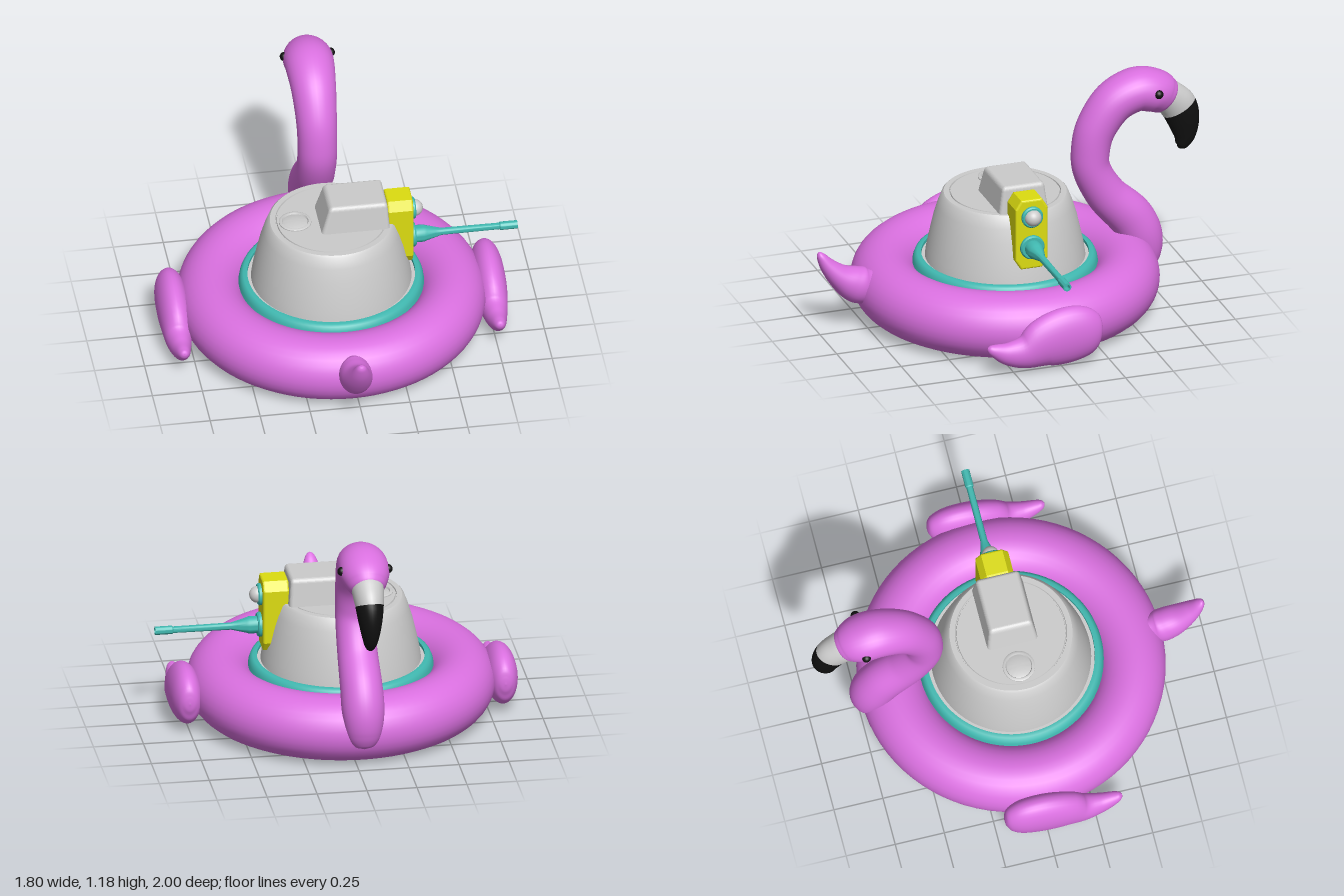
import * as THREE from 'three';
import { toCreasedNormals } from 'three/addons/utils/BufferGeometryUtils.js';
import { RoundedBoxGeometry } from 'three/addons/geometries/RoundedBoxGeometry.js';

const mat = (color) => new THREE.MeshStandardMaterial({ color });
const pink = mat(0xda70e0), teal = mat(0x40b8b0), yellow = mat(0xdcdc10);
const black = mat(0x111111), grey = mat(0xcccccc);

function add(parent, name, geometry, material, x = 0, y = 0, z = 0) {
  const mesh = new THREE.Mesh(geometry, material);
  mesh.name = name;
  mesh.position.set(x, y, z);
  parent.add(mesh);
  return mesh;
}

// Smooth skin over elliptical stations [z, y, half width in x, half thickness],
// following a path in the y-z plane between t0 and t1.
function loft(stations, t0 = 0, t1 = 1, rows = 48, sides = 32) {
  const path = new THREE.CatmullRomCurve3(
    stations.map(([z, y]) => new THREE.Vector3(0, y, z)), false, 'catmullrom', 0.5);
  const radii = new THREE.CatmullRomCurve3(
    stations.map((s) => new THREE.Vector3(s[2], s[3], 0)), false, 'catmullrom', 0.5);
  const pos = [], index = [];
  for (let i = 0; i <= rows; i++) {
    const t = t0 + (t1 - t0) * i / rows;
    const c = path.getPoint(t), r = radii.getPoint(t), d = path.getTangent(t);
    const rx = Math.max(r.x, 0.0005), rn = Math.max(r.y, 0.0005);
    for (let j = 0; j < sides; j++) {
      const a = j / sides * Math.PI * 2, n = Math.sin(a) * rn;
      pos.push(Math.cos(a) * rx, c.y + d.z * n, c.z - d.y * n);
      if (i === rows) continue;
      const p = i * sides + j, q = i * sides + (j + 1) % sides;
      index.push(p, q, p + sides, q, q + sides, p + sides);
    }
  }
  const g = new THREE.BufferGeometry();
  g.setAttribute('position', new THREE.Float32BufferAttribute(pos, 3));
  g.setIndex(index);
  g.computeVertexNormals();
  return g;
}

// Turned part from [radius, height] pairs, with sharp edges kept.
function turned(profile, segments = 64) {
  const g = new THREE.LatheGeometry(profile.map(([r, y]) => new THREE.Vector2(r, y)), segments);
  return toCreasedNormals(g, 0.6);
}

function buildFloat() {
  const g = new THREE.Group();
  g.name = 'float';
  add(g, 'ring', new THREE.TorusGeometry(0.6, 0.165, 32, 80).rotateX(Math.PI / 2), pink, 0, 0.167, 0.02);
  add(g, 'floor', new THREE.CircleGeometry(0.455, 64).rotateX(Math.PI / 2), pink, 0, 0.1, 0.02);

  // neck and head in one sweep
  add(g, 'neckAndHead', loft([
    [-0.735, 0.11, 0, 0], [-0.73, 0.125, 0.05, 0.04], [-0.715, 0.18, 0.085, 0.08],
    [-0.69, 0.29, 0.105, 0.108], [-0.63, 0.40, 0.105, 0.113], [-0.51, 0.53, 0.1, 0.102],
    [-0.435, 0.67, 0.098, 0.095], [-0.427, 0.78, 0.098, 0.096], [-0.458, 0.90, 0.102, 0.101],
    [-0.545, 1.02, 0.112, 0.106], [-0.66, 1.073, 0.122, 0.108], [-0.75, 1.058, 0.122, 0.109],
    [-0.81, 1.025, 0.098, 0.098], [-0.835, 1.008, 0.07, 0.07], [-0.838, 1.005, 0, 0],
  ], 0, 1, 110), pink);

  // hooked bill: pale root, dark tip, split on one path
  const bill = [
    [-0.79, 1.04, 0.085, 0.085], [-0.845, 1.0, 0.078, 0.088], [-0.89, 0.948, 0.07, 0.092],
    [-0.915, 0.87, 0.058, 0.081], [-0.92, 0.795, 0.042, 0.059], [-0.907, 0.745, 0.028, 0.036],
    [-0.899, 0.727, 0.015, 0.018], [-0.896, 0.718, 0, 0],
  ];
  add(g, 'billRoot', loft(bill, 0, 2 / 7, 16), grey);
  add(g, 'billTip', loft(bill, 2 / 7, 1, 32), black);

  const wing = [
    [-0.212, 0.18, 0, 0], [-0.205, 0.18, 0.03, 0.045], [-0.18, 0.18, 0.055, 0.095],
    [-0.12, 0.176, 0.074, 0.133], [-0.02, 0.167, 0.081, 0.148], [0.09, 0.145, 0.078, 0.132],
    [0.19, 0.108, 0.066, 0.088], [0.28, 0.11, 0.048, 0.06], [0.35, 0.135, 0.032, 0.034],
    [0.378, 0.15, 0.018, 0.018], [0.387, 0.156, 0, 0],
  ];
  for (const [side, name] of [[1, 'left'], [-1, 'right']]) {
    add(g, name + 'Wing', loft(wing), pink, side * 0.79);
    add(g, name + 'Eye', new THREE.SphereGeometry(0.023, 20, 14), black, side * 0.115, 1.08, -0.745);
  }

  add(g, 'tail', loft([
    [0.70, 0.22, 0.05, 0.07], [0.77, 0.225, 0.078, 0.094], [0.83, 0.25, 0.079, 0.086],
    [0.89, 0.292, 0.068, 0.062], [0.945, 0.35, 0.049, 0.042], [0.98, 0.403, 0.03, 0.025],
    [0.992, 0.425, 0.016, 0.013], [0.997, 0.433, 0, 0],
  ]), pink);
  return g;
}

function buildTurret() {
  const g = new THREE.Group();
  g.name = 'turret';
  add(g, 'collar', turned([
    [0.47, 0.18], [0.456, 0.27], [0.447, 0.292], [0.435, 0.3], [0.415, 0.3], [0.412, 0.25],
  ], 80), teal);
  add(g, 'dome', turned([
    [0.415, 0.2], [0.415, 0.285], [0.397, 0.285], [0.39, 0.335], [0.374, 0.41], [0.356, 0.49],
    [0.335, 0.56], [0.314, 0.615], [0.304, 0.625], [0.277, 0.625], [0.275, 0.617],
    [0.271, 0.617], [0.269, 0.625], [0, 0.625],
  ], 80), grey);

  // round hatch
  add(g, 'hatch', turned([
    [0.08, 0.62], [0.08, 0.63], [0.074, 0.634], [0.066, 0.634], [0.062, 0.626],
    [0.05, 0.63], [0.025, 0.633], [0, 0.634],
  ], 40), grey, -0.18, 0, -0.005);

  // tapered housing on the roof
  const box = new RoundedBoxGeometry(0.36, 0.19, 0.27, 4, 0.022);
  const p = box.attributes.position;
  for (let i = 0; i < p.count; i++) {
    const k = (p.getY(i) + 0.095) / 0.19;
    p.setX(i, p.getX(i) * (1 - 0.2 * k) + 0.022 * k);
    p.setZ(i, p.getZ(i) * (1 - 0.2 * k));
  }
  box.computeVertexNormals();
  add(g, 'roofHousing', box, grey, 0.1, 0.67, -0.005);

  // gun plate with clipped corners, facing +x
  const w = 0.074, h = 0.175, c = 0.025;
  const plate = new THREE.Shape([
    [-w + c, -h], [w - c, -h], [w, -h + c * 1.6], [w, h - c * 1.6],
    [w - c, h], [-w + c, h], [-w, h - c * 1.6], [-w, -h + c * 1.6],
  ].map(([x, y]) => new THREE.Vector2(x, y)));
  const plateGeometry = new THREE.ExtrudeGeometry(plate, {
    depth: 0.11, bevelEnabled: true, bevelSize: 0.01, bevelThickness: 0.01, bevelSegments: 3,
  }).rotateY(Math.PI / 2);
  add(g, 'gunPlate', plateGeometry, yellow, 0.28, 0.555, 0);

  // parts turned about the x axis
  const along = (name, profile, material, y) =>
    add(g, name, turned(profile, 32).rotateZ(-Math.PI / 2), material, 0.4, y, 0);
  along('lampRing', [
    [0.055, -0.02], [0.055, 0.012], [0.049, 0.018], [0.042, 0.018], [0.042, 0],
  ], teal, 0.65);
  add(g, 'lamp', new THREE.SphereGeometry(0.042, 28, 18), grey, 0.416, 0.65, 0);
  along('gun', [
    [0.062, -0.02], [0.062, 0.012], [0.056, 0.02], [0.043, 0.02], [0.043, 0.06], [0.038, 0.075],
    [0.026, 0.12], [0.018, 0.15], [0.0165, 0.44], [0.021, 0.445], [0.021, 0.53],
    [0.013, 0.53], [0.013, 0.5], [0, 0.5],
  ], teal, 0.488);
  return g;
}

export function createModel() {
  const model = new THREE.Group();
  model.name = 'flamingoFloatTurret';
  const float = buildFloat(), turret = buildTurret();
  float.position.set(-0.03, 0, 0);
  turret.position.set(-0.03, 0, 0.02);
  model.add(float, turret);
  return model;
}
